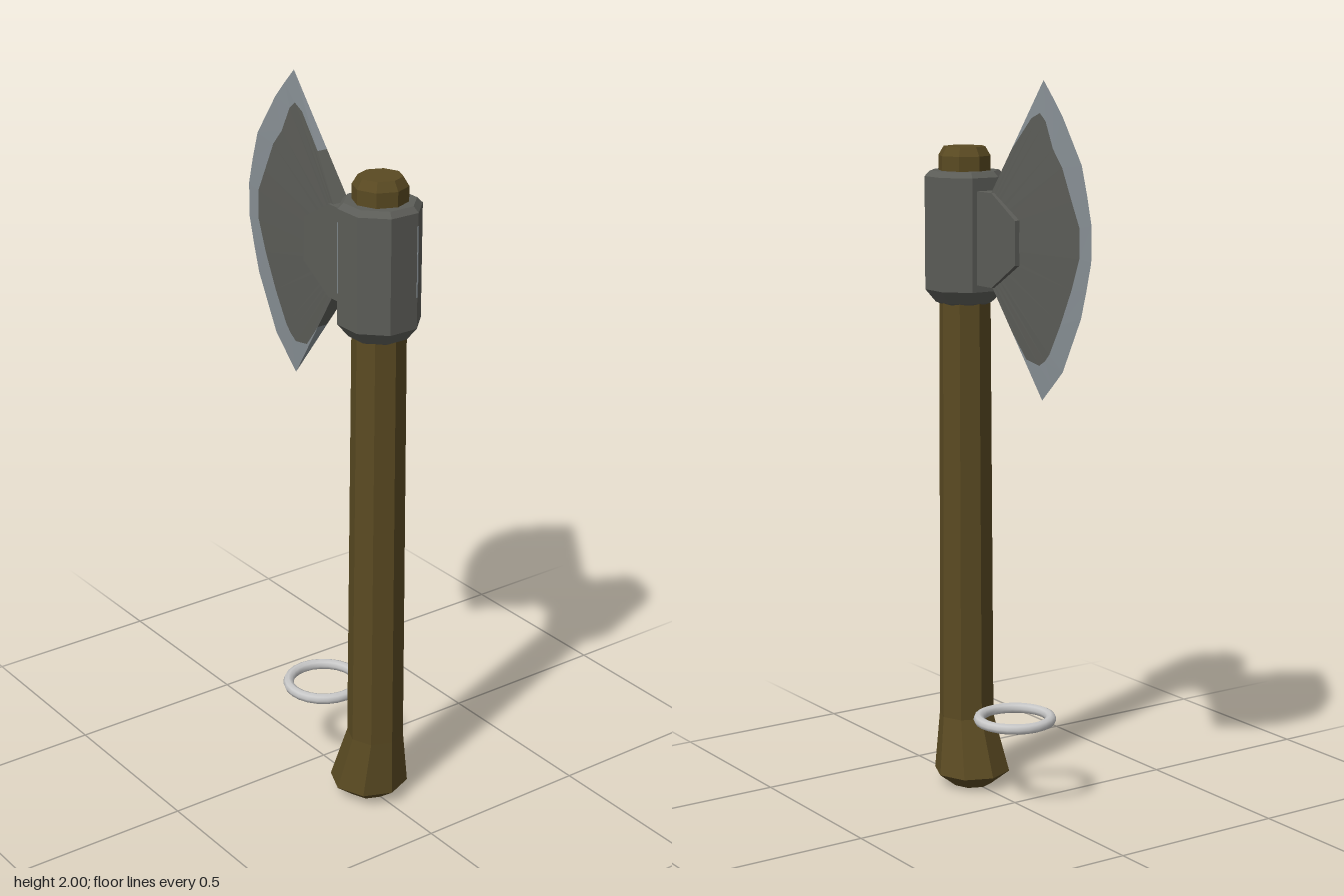
import * as THREE from 'three';

const AXIS_Z = 0.243;   // centre line of the handle
const BLADE_X = -0.004; // centre plane of the blade

const flat = (name, color) => new THREE.MeshStandardMaterial({ name, color, flatShading: true });

function addMesh(parent, name, geometry, material, x = 0, y = 0, z = 0) {
  const mesh = new THREE.Mesh(geometry, material);
  mesh.name = name;
  mesh.position.set(x, y, z);
  parent.add(mesh);
  return mesh;
}

// Eight-sided turned part from [radius, y] pairs, bottom to top
const turned = (profile) =>
  new THREE.LatheGeometry(profile.map(([r, y]) => new THREE.Vector2(r, y)), 8);

// Collects polygons (fans) into one faceted geometry
function facets() {
  const pos = [];
  return {
    add(points, flip = false) {
      const p = flip ? [...points].reverse() : points;
      for (let i = 1; i < p.length - 1; i++) pos.push(...p[0], ...p[i], ...p[i + 1]);
    },
    build() {
      const g = new THREE.BufferGeometry();
      g.setAttribute('position', new THREE.Float32BufferAttribute(pos, 3));
      g.computeVertexNormals();
      return g;
    },
  };
}

// Wedge blade: columns from the thick root, through the worn border, to the sharp edge
function bladeGeometries() {
  const edge = [[-0.125, 2], [-0.125, 2], [-0.125, 2], [-0.167, 1.957], [-0.21, 1.91],
    [-0.295, 1.79], [-0.32, 1.71], [-0.338, 1.64], [-0.338, 1.545], [-0.318, 1.47],
    [-0.295, 1.395], [-0.215, 1.245], [-0.168, 1.2], [-0.122, 1.157], [-0.122, 1.157], [-0.122, 1.157]];
  const border = [[0, 1.815], [-0.08, 1.9], [-0.115, 1.915], [-0.14, 1.895], [-0.175, 1.825],
    [-0.215, 1.78], [-0.257, 1.695], [-0.29, 1.63], [-0.29, 1.55], [-0.257, 1.465],
    [-0.21, 1.37], [-0.16, 1.285], [-0.14, 1.265], [-0.115, 1.25], [-0.06, 1.26], [0, 1.33]];
  const last = edge.length - 1;
  const root = edge.map((_, i) => [0.085, 1.69 - 0.24 * i / last]);
  const dist = (a, b) => Math.hypot(a[0] - b[0], a[1] - b[1]);
  const halfWidth = 0.025;
  const R = (i, s) => [s * halfWidth, root[i][1], root[i][0]];
  const M = (i, s) => {
    const t = Math.min(0.95, dist(border[i], root[i]) / dist(edge[i], root[i]));
    return [s * halfWidth * (1 - t), border[i][1], border[i][0]];
  };
  const E = (i) => [0, edge[i][1], edge[i][0]];
  const body = facets();
  const rim = facets();
  for (const s of [1, -1]) {
    for (let i = 0; i < last; i++) {
      body.add([R(i, s), M(i, s), M(i + 1, s), R(i + 1, s)], s > 0);
      const tip = dist(edge[i], edge[i + 1]) === 0;
      rim.add(tip ? [M(i, s), E(i), M(i + 1, s)] : [M(i, s), E(i), E(i + 1), M(i + 1, s)], s > 0);
    }
  }
  // Narrow upper and lower faces
  for (const [i, flip] of [[0, false], [last, true]]) {
    body.add([R(i, 1), M(i, 1), M(i, -1), R(i, -1)], flip);
    rim.add([M(i, 1), E(i), M(i, -1)], flip);
  }
  return [body.build(), rim.build()];
}

export function createModel() {
  const wood = flat('dark wood', 0x5a4a22);
  const iron = flat('dark iron', 0x5c5d58);
  const steel = flat('worn steel', 0x889095);
  const silver = new THREE.MeshStandardMaterial({ name: 'silver', color: 0xc8c8c8 });
  const axe = new THREE.Group();
  axe.name = 'axe';

  // Handle with a flared butt that kicks backwards
  const handle = turned([[0, 0], [0.056, 0], [0.108, 0.04], [0.078, 0.2], [0.072, 1.4],
    [0.073, 1.785], [0.058, 1.81], [0, 1.81]]);
  const p = handle.attributes.position;
  for (let i = 0; i < p.count; i++) if (p.getY(i) < 0.1) p.setZ(i, p.getZ(i) - 0.027);
  addMesh(axe, 'handle', handle, wood, 0, 0, AXIS_Z);

  // Iron collar around the handle top
  const collar = turned([[0.07, 1.38], [0.082, 1.385], [0.111, 1.42], [0.111, 1.73], [0.096, 1.745], [0.06, 1.745]]);
  addMesh(axe, 'collar', collar.rotateY(Math.PI / 8), iron, 0, 0, AXIS_Z);

  // Scuffed strips on two collar corners
  for (const a of [1.5, 4.5].map((k) => k * Math.PI / 4)) {
    addMesh(axe, 'collarScuff', new THREE.BoxGeometry(0.005, 0.19, 0.005), steel,
      0.109 * Math.cos(a), 1.6, AXIS_Z + 0.109 * Math.sin(a)).rotation.y = -a;
  }

  // Neck plate joining collar and blade, chamfered towards the blade
  const outline = [[-0.16, 1.44], [-0.07, 1.44], [0.04, 1.51], [0.04, 1.63], [-0.07, 1.695], [-0.16, 1.695]];
  const neck = new THREE.ExtrudeGeometry(
    new THREE.Shape(outline.map(([u, y]) => new THREE.Vector2(u, y))),
    { depth: 0.064, bevelEnabled: false });
  neck.translate(0, 0, -0.032).rotateY(Math.PI / 2);
  addMesh(axe, 'neck', neck, iron, BLADE_X);

  // Blade
  const [body, rim] = bladeGeometries();
  addMesh(axe, 'bladeBody', body, iron, BLADE_X);
  addMesh(axe, 'bladeEdge', rim, steel, BLADE_X);

  // Loose ring behind the butt
  addMesh(axe, 'ring', new THREE.TorusGeometry(0.1, 0.015, 8, 24).rotateX(Math.PI / 2), silver, 0, 0.245, 0);

  return axe;
}
